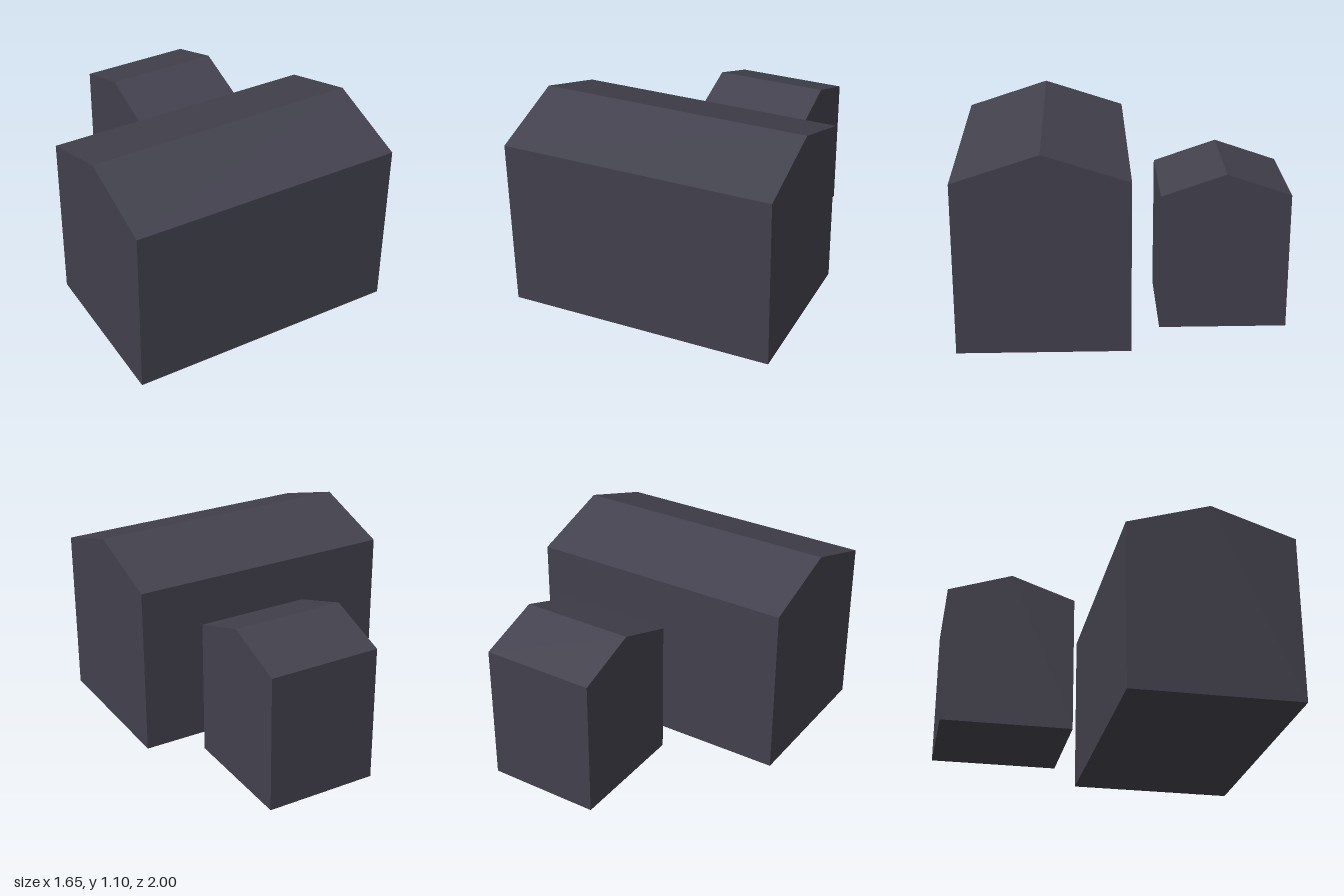
import * as THREE from 'three';

const slate = new THREE.MeshStandardMaterial({ color: 0x42414d });
slate.name = 'darkSlate';

// Gabled block: pentagonal cross-section extruded along its ridge (local x)
function gabledBlock(name, length, width, base, eave, ridge) {
  const h = width / 2;
  const section = new THREE.Shape([
    new THREE.Vector2(-h, base),
    new THREE.Vector2(h, base),
    new THREE.Vector2(h, eave),
    new THREE.Vector2(0, ridge),
    new THREE.Vector2(-h, eave),
  ]);
  const geometry = new THREE.ExtrudeGeometry(section, { depth: length, bevelEnabled: false });
  geometry.translate(0, 0, -length / 2).rotateY(Math.PI / 2);
  const mesh = new THREE.Mesh(geometry, slate);
  mesh.name = name;
  return mesh;
}

export function createModel() {
  const group = new THREE.Group();
  group.name = 'farmBuildings';
  const turn = 0.187; // both ridges run parallel

  // Long main building at the front
  const mainBuilding = gabledBlock('mainBuilding', 1.502, 0.93, 0.003, 0.951, 1.103);
  mainBuilding.position.set(0, 0, 0.398);

  // Small outbuilding behind it
  const outbuilding = gabledBlock('outbuilding', 0.63, 0.702, 0.01, 0.777, 0.898);
  outbuilding.position.set(-0.02, 0, -0.598);

  for (const building of [mainBuilding, outbuilding]) {
    building.rotation.y = turn;
    group.add(building);
  }
  return group;
}
